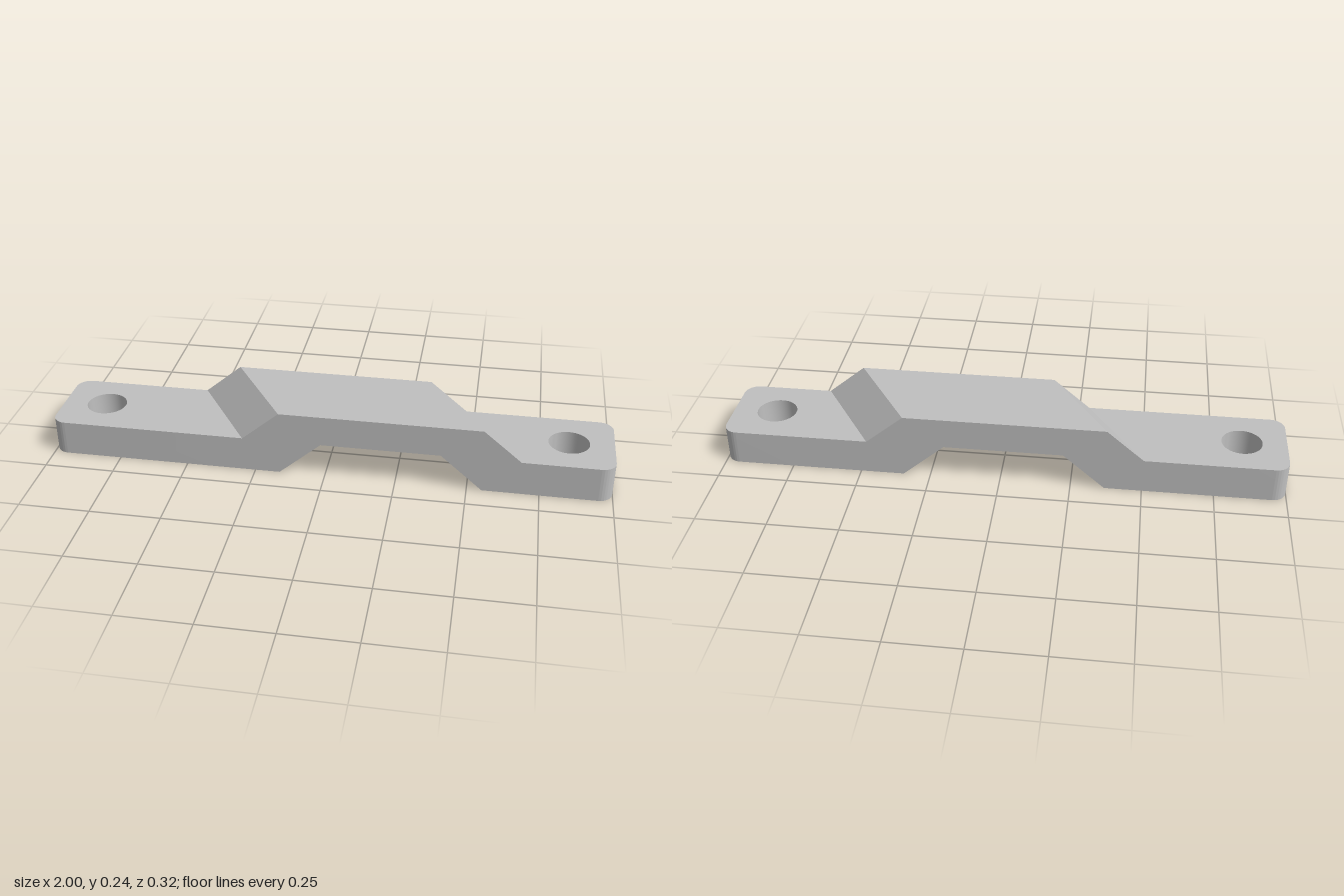
import * as THREE from 'three';
import { toCreasedNormals } from 'three/addons/utils/BufferGeometryUtils.js';

const HALF_DEPTH = 0.158, THICK = 0.127, TOP = 0.238;
const SKEW = 0.655; // x shift of every fold line per unit of z
const CUT_LEFT = -0.398, CUT_RIGHT = 0.578; // upper folds where pads meet the bridge, at z = 0

// Drops the hidden walls lying on a joint plane, then smooths only the rounded faces
function finish(geometry, cuts) {
  const p = geometry.getAttribute('position');
  const onCut = (i, c) => Math.abs(p.getX(i) - SKEW * p.getZ(i) - c) < 1e-4;
  const kept = [];
  for (let i = 0; i < p.count; i += 3) {
    if (cuts.some(c => onCut(i, c) && onCut(i + 1, c) && onCut(i + 2, c))) continue;
    for (let j = i; j < i + 3; j++) kept.push(p.getX(j), p.getY(j), p.getZ(j));
  }
  const out = new THREE.BufferGeometry();
  out.setAttribute('position', new THREE.Float32BufferAttribute(kept, 3));
  return toCreasedNormals(out, 0.5);
}

// End pad on the -x side: rounded outer corners, bolt hole, slanted inner edge
function padGeometry(cut) {
  const r = 0.05, h = HALF_DEPTH, s = new THREE.Shape();
  s.moveTo(-1 + r, -h);
  s.lineTo(cut + SKEW * h, -h);
  s.lineTo(cut - SKEW * h, h);
  s.lineTo(-1 + r, h);
  s.absarc(-1 + r, h - r, r, Math.PI / 2, Math.PI, false);
  s.lineTo(-1, -h + r);
  s.absarc(-1 + r, -h + r, r, Math.PI, Math.PI * 1.5, false);
  const hole = new THREE.Path();
  hole.absarc(-0.842, 0, 0.072, 0, Math.PI * 2, true);
  s.holes.push(hole);
  const g = new THREE.ExtrudeGeometry(s, { depth: THICK, bevelEnabled: false, curveSegments: 20 });
  g.rotateX(-Math.PI / 2);
  return finish(g, [cut]);
}

// Raised middle: side profile swept across the depth and skewed
function bridgeGeometry() {
  const profile = [
    [CUT_LEFT, 0], [-0.266, 0], [-0.118, THICK], [0.302, THICK], [0.449, 0],
    [CUT_RIGHT, 0], [CUT_RIGHT, THICK], [0.444, TOP], [-0.266, TOP], [CUT_LEFT, THICK],
  ];
  const shape = new THREE.Shape(profile.map(([x, y]) => new THREE.Vector2(x, y)));
  const g = new THREE.ExtrudeGeometry(shape, { depth: HALF_DEPTH * 2, bevelEnabled: false });
  g.translate(0, 0, -HALF_DEPTH);
  const p = g.getAttribute('position');
  for (let i = 0; i < p.count; i++) p.setX(i, p.getX(i) + SKEW * p.getZ(i));
  return finish(g, [CUT_LEFT, CUT_RIGHT]);
}

export function createModel() {
  const steel = new THREE.MeshStandardMaterial({ color: 0xc0c0c0 });
  steel.name = 'grey steel';
  const model = new THREE.Group();
  model.name = 'offsetBracket';
  const add = (name, geometry) => {
    const mesh = new THREE.Mesh(geometry, steel);
    mesh.name = name;
    model.add(mesh);
  };
  add('rightEndPad', padGeometry(CUT_LEFT));
  add('raisedBridge', bridgeGeometry());
  // The other pad is the same plate turned half a revolution
  add('leftEndPad', padGeometry(-CUT_RIGHT).rotateY(Math.PI));
  return model;
}
